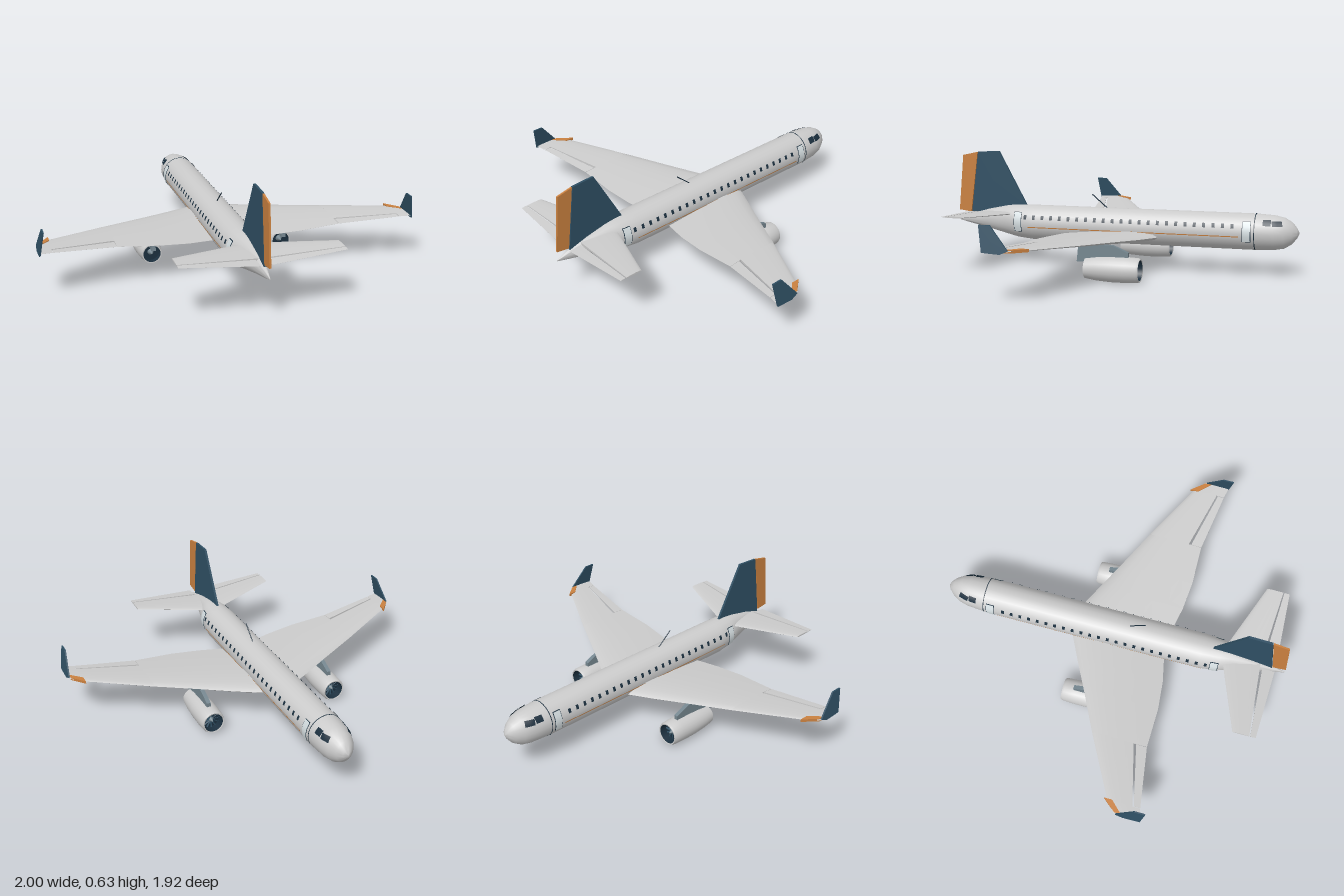
import * as THREE from 'three';
import { toCreasedNormals } from 'three/addons/utils/BufferGeometryUtils.js';

const mat = (color) => new THREE.MeshStandardMaterial({ color, side: THREE.DoubleSide });
const GREY = mat(0xcccccc), NAVY = mat(0x2f4f63), ORANGE = mat(0xc9803f);
const DARK = mat(0x1b2f3e), SLATE = mat(0x75868f), PALE = mat(0xd6dfe2);

// Linear interpolation in rows of [key, value, value, ...]
function table(rows, k) {
  let i = 0;
  while (i < rows.length - 2 && k > rows[i + 1][0]) i++;
  const a = rows[i], b = rows[i + 1], f = (k - a[0]) / (b[0] - a[0]);
  return a.slice(1).map((v, j) => v + (b[j + 1] - v) * f);
}

// Closed solid through loops of equal point count; always wound outwards
function loft(rings, crease = 0.6) {
  const tris = [], n = rings[0].length;
  for (let r = 0; r < rings.length - 1; r++) {
    for (let i = 0; i < n; i++) {
      const j = (i + 1) % n, A = rings[r], B = rings[r + 1];
      tris.push([A[i], A[j], B[j]], [A[i], B[j], B[i]]);
    }
  }
  const cap = (ring, flip) => {
    const c = [0, 1, 2].map((k) => ring.reduce((s, p) => s + p[k], 0) / n);
    ring.forEach((p, i) => {
      const q = ring[(i + 1) % n];
      tris.push(flip ? [c, q, p] : [c, p, q]);
    });
  };
  cap(rings[0], true);
  cap(rings[rings.length - 1], false);
  const [o] = rings[0];
  const v = (p) => new THREE.Vector3(p[0] - o[0], p[1] - o[1], p[2] - o[2]);
  const volume = tris.reduce((s, [a, b, c]) => s + v(a).dot(v(b).cross(v(c))), 0);
  if (volume < 0) tris.forEach((t) => t.reverse());
  const g = new THREE.BufferGeometry();
  g.setAttribute('position', new THREE.Float32BufferAttribute(tris.flat(2), 3));
  return toCreasedNormals(g, crease);
}

// Flat plate from a (z, y) outline, centred on x(y), half thickness t
const plate = (outline, x, t) =>
  loft([-t, t].map((d) => outline.map(([z, y]) => [x(y) + d, y, z])));

// Fuselage sections: z, centre height, half width, half height
const BODY = [
  [-0.957, 0.238, 0.003, 0.003], [-0.945, 0.238, 0.024, 0.027], [-0.92, 0.237, 0.049, 0.058],
  [-0.88, 0.236, 0.073, 0.082], [-0.83, 0.237, 0.087, 0.092], [-0.73, 0.238, 0.096, 0.097],
  [0.5, 0.238, 0.096, 0.097], [0.6, 0.243, 0.086, 0.092], [0.66, 0.247, 0.067, 0.082],
  [0.78, 0.249, 0.037, 0.055], [0.9, 0.244, 0.013, 0.024], [0.96, 0.238, 0.002, 0.004],
];
function bodyRing(z, grow = 0) {
  const [cy, rx, ry] = table(BODY, z);
  return Array.from({ length: 24 }, (_, i) => {
    const a = (i / 24) * Math.PI * 2;
    return [Math.cos(a) * (rx + grow), cy + Math.sin(a) * (ry + grow), z];
  });
}

// Thin panel following the fuselage skin on one side
function skinPatch(side, z0, z1, y0, y1, lift, slant = 0) {
  const g = new THREE.PlaneGeometry(1, 1, 4, 4), p = g.attributes.position;
  for (let i = 0; i < p.count; i++) {
    const v = p.getY(i) + 0.5, y = y0 + (y1 - y0) * v;
    const z = z0 + (z1 - z0) * (p.getX(i) + 0.5) + slant * v;
    const [cy, rx, ry] = table(BODY, z);
    const s = (y - cy) / ry;
    p.setXYZ(i, side * (rx * Math.sqrt(Math.max(0, 1 - s * s)) + lift), y + s * lift, z);
  }
  if (side > 0) g.index.array.reverse();
  g.computeVertexNormals();
  return g;
}

// Span tables: x, height, leading edge z, trailing edge z, thickness
const WING = [
  [0.05, 0.195, -0.235, 0.3, 0.055], [0.22, 0.204, -0.15, 0.335, 0.046], [0.38, 0.216, -0.067, 0.35, 0.036],
  [0.6, 0.232, 0.043, 0.346, 0.024], [0.93, 0.257, 0.22, 0.397, 0.011], [0.99, 0.261, 0.27, 0.41, 0.008],
];
const TAIL = [[0.01, 0.284, 0.606, 0.905, 0.022], [0.42, 0.313, 0.76, 0.886, 0.009]];

// Aerofoil piece between chord fractions u0..u1 through the given span stations
function foil(span, side, xs, u0, u1) {
  return loft(xs.map((x) => {
    const [y, le, te, t] = table(span, x), top = [], low = [];
    for (let k = 0; k <= 8; k++) {
      const u = u0 + (u1 - u0) * (k / 8) ** 1.5;
      const h = 5 * t * (0.2969 * Math.sqrt(u) - 0.126 * u - 0.3516 * u ** 2 + 0.2843 * u ** 3 - 0.1015 * u ** 4);
      top.push([side * x, y + h, le + (te - le) * u]);
      low.unshift([side * x, y - h, le + (te - le) * u]);
    }
    return [...top, ...low];
  }));
}

function addTo(parent, name, geometry, material = GREY) {
  const m = new THREE.Mesh(geometry, material);
  m.name = name;
  parent.add(m);
  return m;
}

function engine(side) {
  const g = new THREE.Group();
  g.name = 'engine';
  const lathe = (pts) =>
    toCreasedNormals(new THREE.LatheGeometry(pts.map((p) => new THREE.Vector2(...p)), 24).rotateX(Math.PI / 2), 0.6);
  addTo(g, 'nacelle', lathe([[0.053, -0.19], [0.059, -0.192], [0.064, -0.18], [0.067, -0.12], [0.067, -0.04],
    [0.062, 0.04], [0.053, 0.1], [0.047, 0.1]]));
  addTo(g, 'innerDuct', lathe([[0.047, 0.1], [0.05, 0.0], [0.05, -0.15], [0.053, -0.19]]), DARK);
  addTo(g, 'fanDisc', new THREE.CylinderGeometry(0.05, 0.05, 0.01, 24).rotateX(Math.PI / 2).translate(0, 0, -0.14), DARK);
  addTo(g, 'exhaustDisc', new THREE.CylinderGeometry(0.049, 0.049, 0.01, 24).rotateX(Math.PI / 2).translate(0, 0, 0.06), DARK);
  for (let i = 0; i < 12; i++) {
    const blade = addTo(g, 'fanBlade', new THREE.BoxGeometry(0.008, 0.036, 0.002).rotateY(0.6).translate(0, 0.03, -0.152), NAVY);
    blade.rotation.z = (i / 12) * Math.PI * 2;
  }
  addTo(g, 'spinner', new THREE.ConeGeometry(0.016, 0.035, 16).rotateX(-Math.PI / 2).translate(0, 0, -0.162), SLATE);
  addTo(g, 'exhaustCone', new THREE.ConeGeometry(0.018, 0.04, 16).rotateX(Math.PI / 2).translate(0, 0, 0.083), SLATE);
  g.position.set(side * 0.365, 0.071, 0);
  return g;
}

export function createModel() {
  const model = new THREE.Group();
  model.name = 'airliner';

  // Fuselage with nose seam
  addTo(model, 'fuselage', loft(BODY.map(([z]) => bodyRing(z)), 0.9));
  addTo(model, 'noseSeam', loft([bodyRing(-0.732, 0.001), bodyRing(-0.728, 0.001)]), DARK);

  // Fin, rudder and aerial on the centre line
  addTo(model, 'fin', plate([[0.55, 0.325], [0.715, 0.63], [0.842, 0.623], [0.886, 0.27]], () => 0, 0.006), NAVY);
  addTo(model, 'rudder', plate([[0.845, 0.622], [0.932, 0.603], [0.96, 0.292], [0.889, 0.282]], () => 0, 0.005), ORANGE);
  const aerial = new THREE.LineCurve3(new THREE.Vector3(0, 0.33, 0.085), new THREE.Vector3(0, 0.405, 0.173));
  addTo(model, 'aerial', new THREE.TubeGeometry(aerial, 1, 0.003, 6), DARK);

  for (const s of [1, -1]) {
    // Wing with a slotted aileron
    addTo(model, 'innerWing', foil(WING, s, [0.05, 0.22, 0.38, 0.6], 0, 1));
    addTo(model, 'outerWing', foil(WING, s, [0.6, 0.93], 0, 0.76));
    addTo(model, 'aileron', foil(WING, s, [0.602, 0.927], 0.805, 1));
    addTo(model, 'wingTip', foil(WING, s, [0.93, 0.99], 0, 1));

    // Winglet and coloured leading edge at the tip
    const lean = (y) => s * (0.992 - (y - 0.26) * 0.15);
    addTo(model, 'winglet', plate([[0.28, 0.262], [0.375, 0.378], [0.432, 0.378], [0.412, 0.25], [0.32, 0.245]], lean, 0.004), NAVY);
    const edge = [[0.925, 0.2], [0.985, 0.272], [0.988, 0.31], [0.925, 0.245]];
    addTo(model, 'tipLeadingEdge', loft([0.251, 0.266].map((y) => edge.map(([x, z]) => [s * x, y, z]))), ORANGE);

    // Tailplane and elevator
    addTo(model, 'tailplane', foil(TAIL, s, [0.01, 0.42], 0, 0.72));
    addTo(model, 'elevator', foil(TAIL, s, [0.03, 0.42], 0.765, 1));

    // Engine and pylon
    model.add(engine(s));
    const pylon = [[0.135, 0.2], [0.145, 0.105], [0.0, 0.105], [-0.13, 0.122], [-0.13, 0.16], [-0.05, 0.195]];
    addTo(model, 'pylon', plate(pylon, () => s * 0.365, 0.011), SLATE);

    // Cabin windows
    for (let i = 0; i < 24; i++) {
      const z = 0.535 - i * 0.05;
      addTo(model, 'cabinWindow', skinPatch(s, z - 0.008, z + 0.008, 0.264, 0.286, 0.003), DARK);
    }
    // Cockpit windows
    addTo(model, 'cockpitSideWindow', skinPatch(s, -0.815, -0.773, 0.281, 0.309, 0.003), DARK);
    addTo(model, 'cockpitFrontWindow', skinPatch(s, -0.876, -0.824, 0.278, 0.304, 0.003, 0.008), DARK);
    // Doors with a dark frame
    for (const z of [0.58, -0.69]) {
      addTo(model, 'doorFrame', skinPatch(s, z - 0.023, z + 0.023, 0.195, 0.301, 0.002), DARK);
      addTo(model, 'door', skinPatch(s, z - 0.02, z + 0.02, 0.198, 0.298, 0.0035), PALE);
    }
    // Side stripe
    addTo(model, 'stripe', skinPatch(s, -0.65, 0.52, 0.219, 0.224, 0.002), ORANGE);
  }
  return model;
}
